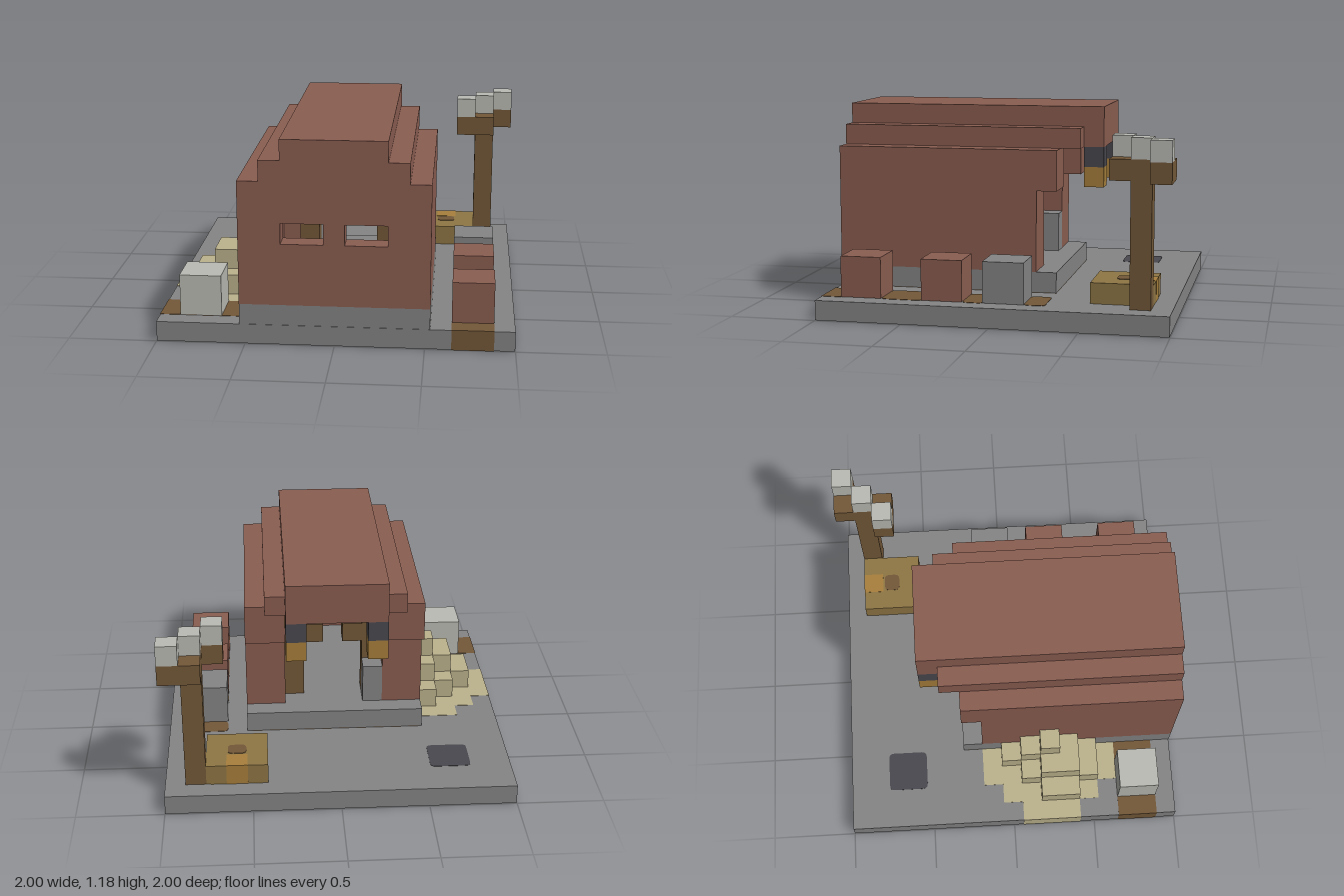
import * as THREE from 'three';

const U = 2 / 17; // one grid cell; the plot is 17 x 17 cells

function mat(name, color) {
  const m = new THREE.MeshStandardMaterial({ color });
  m.name = name;
  return m;
}

export function createModel() {
  const stone = mat('stone grey', 0x858585);
  const brick = mat('brick red', 0x8b5e51);
  const wood = mat('dark wood', 0x745939);
  const tan = mat('tan wood', 0x8f7745);
  const gold = mat('lamp gold', 0xa8803d);
  const sand = mat('sand', 0xbdb38d);
  const pale = mat('pale stone', 0xbcbcb6);
  const dark = mat('charcoal', 0x4a494f);

  const model = new THREE.Group();
  model.name = 'kilnHouse';

  function add(name, geometry, material) {
    const mesh = new THREE.Mesh(geometry, material);
    mesh.name = name;
    model.add(mesh);
    return mesh;
  }

  // Box between cell boundaries in x (i), y (j) and z (k), grown by g
  function block(name, m, i0, i1, j0, j1, k0, k1, g = 0) {
    const geo = new THREE.BoxGeometry((i1 - i0) * U + 2 * g, (j1 - j0) * U + 2 * g, (k1 - k0) * U + 2 * g);
    geo.translate((i0 + i1) * U / 2 - 1, (j0 + j1) * U / 2, (k0 + k1) * U / 2 - 1);
    return add(name, geo, m);
  }

  // The same block on both sides of the centre line
  function pair(name, m, i0, i1, ...rest) {
    block(name + 'Left', m, 17 - i1, 17 - i0, ...rest);
    block(name + 'Right', m, i0, i1, ...rest);
  }

  // Flat slab with rounded corners, from height y0 to y1
  function slab(name, m, i0, i1, k0, k1, y0, y1, r = 0.03) {
    const x0 = i0 * U - 1, x1 = i1 * U - 1, z0 = 1 - k1 * U, z1 = 1 - k0 * U;
    const s = new THREE.Shape();
    s.moveTo(x0 + r, z0);
    s.lineTo(x1 - r, z0).quadraticCurveTo(x1, z0, x1, z0 + r);
    s.lineTo(x1, z1 - r).quadraticCurveTo(x1, z1, x1 - r, z1);
    s.lineTo(x0 + r, z1).quadraticCurveTo(x0, z1, x0, z1 - r);
    s.lineTo(x0, z0 + r).quadraticCurveTo(x0, z0, x0 + r, z0);
    const geo = new THREE.ExtrudeGeometry(s, { depth: y1 - y0, bevelEnabled: false, curveSegments: 3 });
    geo.rotateX(-Math.PI / 2);
    geo.translate(0, y0, 0);
    add(name, geo, m);
  }

  // Ground plate, with coloured patches running right through it
  block('groundPlate', stone, 0, 17, 0, 1, 0, 17, -0.002);
  block('houseFloor', wood, 4, 13, 0, 1, 6, 16);
  block('sidePath', wood, 0, 4, 0, 1, 14, 16);
  block('frontPath', wood, 14, 16, 0, 1, 16, 17);
  for (const [k0, k1] of [[6, 7], [9, 10], [12, 14]]) slab('pathPatch', wood, 14, 16, k0, k1, 0, U);
  slab('tableFootprint', tan, 12, 15, 1, 4, 0, U);
  slab('coalPatch', dark, 2, 4, 2, 4, 0, U);
  [[0, 9, 12], [1, 8, 13], [2, 7, 14], [3, 7, 14]].forEach(([i, k0, k1]) =>
    block('sandGround', sand, i, i + 1, 0, 1, k0, k1));

  // Stepped sand pile against the wall: column, height, depth range
  [[3, 1, 8, 13], [2, 1, 9, 13], [1, 1, 10, 12], [3, 2, 9, 12], [2, 2, 10, 12], [3, 3, 10, 11]]
    .forEach(([i, j, k0, k1]) => block('sandPile', sand, i, i + 1, j, j + 1, k0, k1));

  // Loose blocks beside the house
  block('paleBlock', pale, 1, 3, 1, 3, 14, 16);
  block('greyBlock', stone, 14, 16, 1, 3, 7, 9);
  for (const k of [10, 14]) block('brickBlock', brick, 14, 16, 1, 3, k, k + 2);

  // Foundation
  block('foundation', stone, 4, 13, 1, 2, 6, 17);

  // Front wall: stepped gable with two window openings
  const c = (i, j) => new THREE.Vector2(i * U - 1, j * U);
  const gable = new THREE.Shape([
    c(4, 2), c(13, 2), c(13, 8), c(12, 8), c(12, 9), c(11, 9), c(11, 10),
    c(6, 10), c(6, 9), c(5, 9), c(5, 8), c(4, 8),
  ]);
  for (const i of [6, 9]) gable.holes.push(new THREE.Path([c(i, 5), c(i, 6), c(i + 2, 6), c(i + 2, 5)]));
  const wallGeo = new THREE.ExtrudeGeometry(gable, { depth: U, bevelEnabled: false });
  wallGeo.translate(0, 0, 1 - U);
  add('frontWall', wallGeo, brick);

  // Side walls, door posts and the stepped vault
  pair('sideWall', brick, 4, 5, 2, 6, 8, 16);
  pair('doorPost', brick, 4, 6, 2, 6, 7, 8);
  pair('lowerEave', brick, 4, 6, 6, 8, 6, 16);
  pair('upperEave', brick, 5, 7, 8, 9, 5, 16);
  block('roofTop', brick, 6, 11, 9, 10, 5, 16);
  block('porchBeam', brick, 6, 11, 8, 10, 4, 5);

  // Lanterns hanging below the porch beam
  pair('lanternCap', dark, 6, 7, 7, 8, 4, 5);
  pair('lanternLamp', gold, 6, 7, 6, 7, 4, 5);

  // Inside: posts with brackets, a stone by the door, a lamp and a crate
  pair('innerPost', wood, 6, 7, 2, 8, 8, 9);
  pair('postBracket', wood, 7, 8, 5, 6, 8, 9);
  block('innerLamp', gold, 10, 11, 5, 6, 9, 10);
  block('innerCrate', tan, 6, 7, 5, 6, 9, 10);
  block('doorStone', stone, 6, 7, 2, 4, 7, 8);

  // Low table with an inlaid gold cell and a knot
  block('table', tan, 12, 15, 1, 2, 1, 4);
  block('tableInlay', gold, 13, 14, 1, 2, 1, 2, 0.002);
  slab('tableKnot', wood, 13.05, 13.95, 2.1, 2.9, 2 * U, 2 * U + 0.003);

  // Post with a zigzag top carrying three pale blocks
  block('signPost', wood, 15, 16, 1, 7, 1, 2);
  block('signBeam', wood, 15, 16, 7, 8, 0, 3);
  block('signBeamEnd', wood, 16, 17, 7, 8, 0, 1);
  block('signBeamEnd', wood, 14, 15, 7, 8, 2, 3);
  for (let n = 0; n < 3; n++) block('postCap', pale, 16 - n, 17 - n, 8, 9, n, n + 1);

  return model;
}
